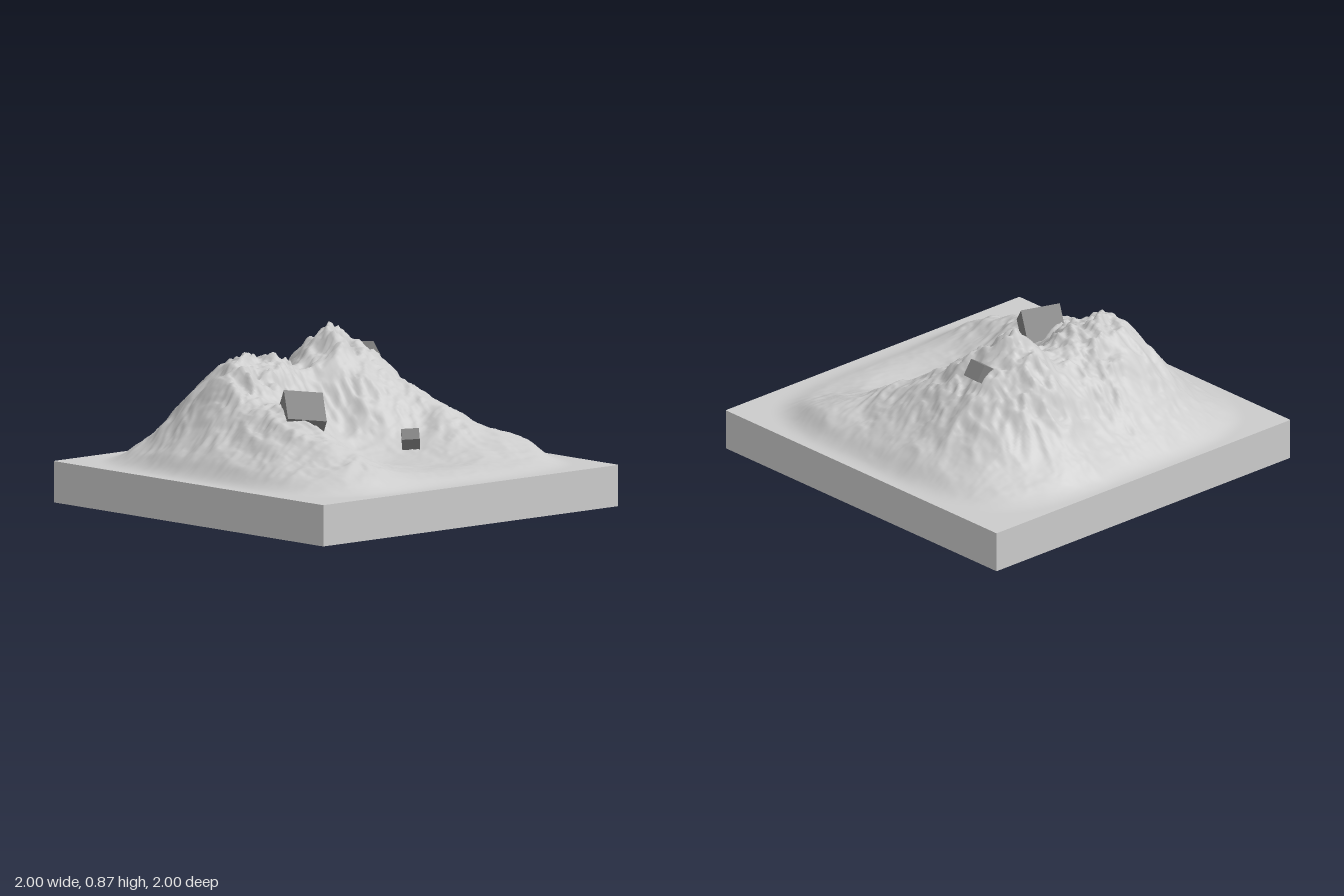
import * as THREE from 'three';

const BASE = 0.21;
const SEGMENTS = 200;

// Relief cross-sections: one row per z (back to front), heights along x, 0.25 apart
const SECTIONS = [
  [0.04, 0.10, 0.16, 0.15, 0.13, 0.12, 0.04],
  [0.10, 0.29, 0.42, 0.35, 0.25, 0.11, 0.04],
  [0.18, 0.49, 0.59, 0.40, 0.11, 0.04, 0.04],
  [0.14, 0.38, 0.46, 0.18, 0.04, 0.04, 0.04],
  [0.16, 0.45, 0.53, 0.31, 0.17, 0.10, 0.06],
  [0.13, 0.36, 0.46, 0.36, 0.30, 0.21, 0.12],
  [0.05, 0.12, 0.18, 0.17, 0.15, 0.11, 0.05],
];

const sectionHeight = (row, col) => SECTIONS[row - 1]?.[col - 1] ?? 0;

function catmullRom(a, b, c, d, t) {
  return b + 0.5 * t * (c - a + t * (2 * a - 5 * b + 4 * c - d + t * (3 * (b - c) + d - a)));
}

// Smooth surface through the cross-sections, levelling out at a rounded-square rim
function relief(x, z) {
  const u = (x + 1) * 4, v = (z + 1) * 4;
  const col = Math.floor(u), row = Math.floor(v);
  const across = [-1, 0, 1, 2].map((r) => catmullRom(
    ...[-1, 0, 1, 2].map((c) => sectionHeight(row + r, col + c)), u - col));
  const rim = 1 - (x ** 4 + z ** 4) ** 0.25;
  return Math.max(0, catmullRom(...across, v - row)) * THREE.MathUtils.smoothstep(rim, 0, 0.16);
}

// Seeded lattice noise in the range -1 to 1
function lattice(i, j) {
  let n = Math.imul(i, 374761393) + Math.imul(j, 668265263) + 1274;
  n = Math.imul(n ^ (n >>> 13), 1274126177);
  return ((n ^ (n >>> 16)) >>> 0) / 2147483648 - 1;
}

function noise(x, z) {
  const i = Math.floor(x), j = Math.floor(z);
  const fade = (t) => t * t * (3 - 2 * t);
  const u = fade(x - i), v = fade(z - j);
  const mix = THREE.MathUtils.lerp;
  return mix(mix(lattice(i, j), lattice(i + 1, j), u),
    mix(lattice(i, j + 1), lattice(i + 1, j + 1), u), v);
}

// Erosion: warped, creased noise that grows stronger higher up
function terrainHeight(x, z) {
  const h = relief(x, z);
  const wx = x + 0.05 * noise(x * 5 + 9, z * 5);
  const wz = z + 0.05 * noise(x * 5, z * 5 + 31);
  let detail = 0, amplitude = 0.04;
  for (let f = 8; f < 70; f *= 2) {
    detail += amplitude * (0.5 - 1.4 * Math.abs(noise(wx * f + f, wz * f)));
    amplitude *= 0.55;
  }
  // Sharp summit on the back massif
  const summit = 0.04 * Math.exp(-((x + 0.33) ** 2 + (z + 0.23) ** 2) / 0.006);
  return h + summit + detail * Math.min(1.2, h * 2.2);
}

function createTerrain(material) {
  const geometry = new THREE.PlaneGeometry(2, 2, SEGMENTS, SEGMENTS).rotateX(-Math.PI / 2);
  const p = geometry.attributes.position;
  for (let i = 0; i < p.count; i++) {
    p.setY(i, BASE + Math.max(0, terrainHeight(p.getX(i), p.getZ(i))));
  }
  geometry.computeVertexNormals();
  const terrain = new THREE.Mesh(geometry, material);
  terrain.name = 'mountainTerrain';
  return terrain;
}

// Cubic boulder turned so that its edges follow two given directions
function createBoulder(name, size, center, edgeA, edgeB, material) {
  const a = new THREE.Vector3(...edgeA).normalize();
  const c = a.clone().cross(new THREE.Vector3(...edgeB)).normalize();
  const b = c.clone().cross(a);
  const boulder = new THREE.Mesh(new THREE.BoxGeometry(size, size, size), material);
  boulder.name = name;
  boulder.position.set(...center);
  boulder.quaternion.setFromRotationMatrix(new THREE.Matrix4().makeBasis(a, b, c));
  return boulder;
}

export function createModel() {
  const group = new THREE.Group();
  group.name = 'mountainDiorama';
  const material = new THREE.MeshStandardMaterial({ color: 0xcccccc });
  const rock = new THREE.MeshStandardMaterial({ color: 0x828282 });

  // Square plinth, just below the terrain sheet
  const base = new THREE.Mesh(new THREE.BoxGeometry(2, BASE - 0.001, 2), material);
  base.name = 'base';
  base.position.y = (BASE - 0.001) / 2;

  group.add(
    base,
    createTerrain(material),
    createBoulder('largeBoulder', 0.2, [0.18, 0.49, 0.4], [-0.1, 0.02, 0.17], [0.13, -0.12, 0.085], rock),
    createBoulder('valleyBoulder', 0.09, [0.275, 0.325, -0.255], [-0.06, -0.005, 0.07], [0.08, -0.055, 0.06], rock),
    createBoulder('summitBoulder', 0.09, [-0.28, 0.685, -0.457], [0.09, 0.01, -0.01], [0, 0.05, -0.08], rock),
  );
  return group;
}
